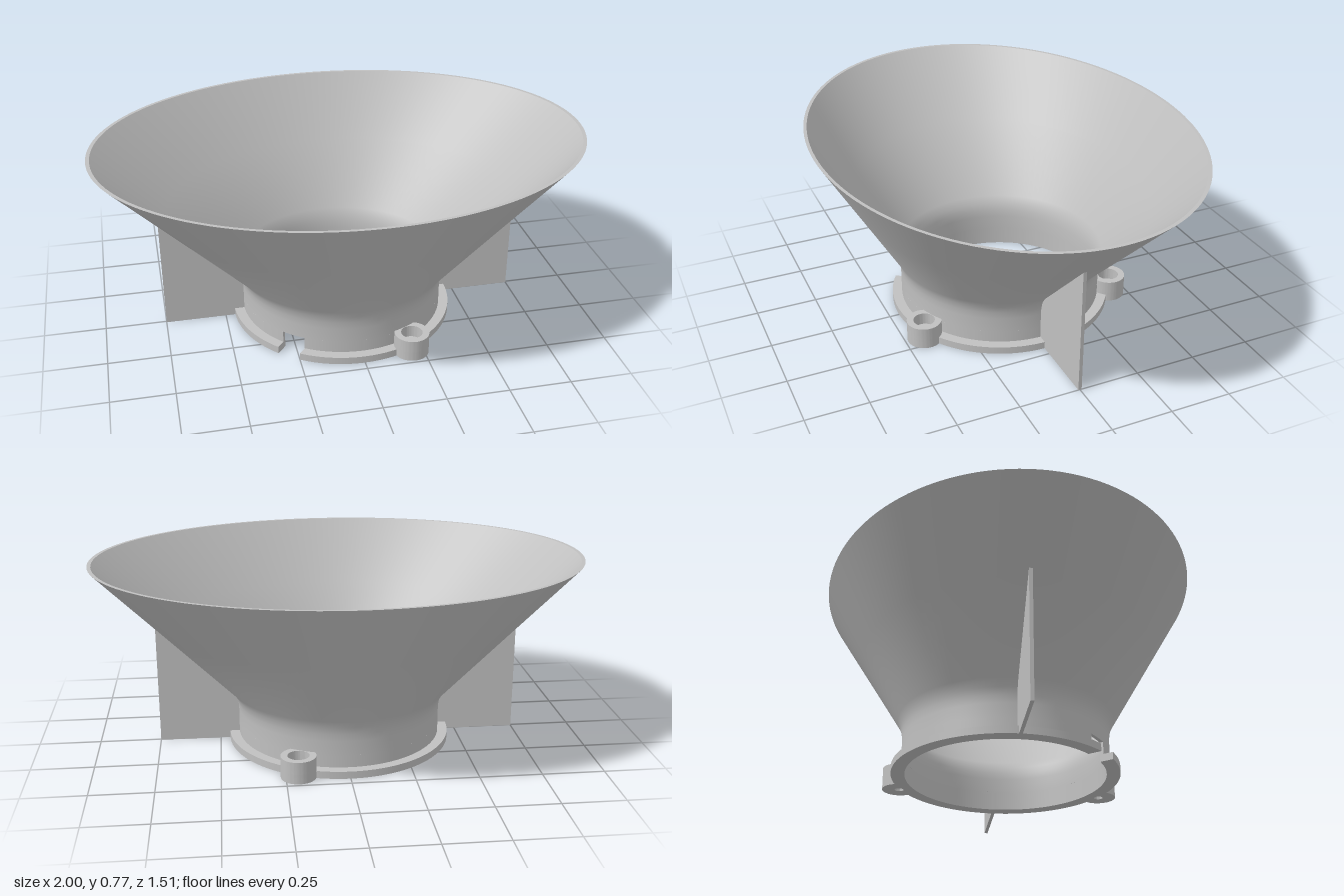
import * as THREE from 'three';
import { toCreasedNormals } from 'three/addons/utils/BufferGeometryUtils.js';

const RAD = Math.PI / 180;
const NECK_IN = 0.405, NECK_OUT = 0.42, FLANGE_OUT = 0.46;
const NOTCH_ANGLE = 231, NOTCH_HALF = 0.049, NOTCH_TOP = 0.08;
const BOSS_ANGLE = 64.5, BOSS_DIST = 0.465, BOSS_R = 0.07;

// Sweeps a closed profile of [rx, rz, y] rows around the y axis
function ellipticalSweep(profile, segments) {
  const positions = [], index = [], rows = profile.length;
  for (const [rx, rz, y] of profile) {
    for (let i = 0; i < segments; i++) {
      const t = (i / segments) * Math.PI * 2;
      positions.push(rx * Math.cos(t), y, rz * Math.sin(t));
    }
  }
  for (let j = 0; j < rows; j++) {
    for (let i = 0; i < segments; i++) {
      const n = (i + 1) % segments, k = (j + 1) % rows;
      const a = j * segments + i, b = j * segments + n;
      const c = k * segments + i, d = k * segments + n;
      index.push(a, c, b, b, c, d);
    }
  }
  const geometry = new THREE.BufferGeometry();
  geometry.setAttribute('position', new THREE.Float32BufferAttribute(positions, 3));
  geometry.setIndex(index);
  return toCreasedNormals(geometry, 0.5);
}

// Extrudes a plan shape upward between two heights
function extrudeUp(shape, y0, y1, curveSegments) {
  const geometry = new THREE.ExtrudeGeometry(shape, { depth: y1 - y0, bevelEnabled: false, curveSegments });
  geometry.rotateX(-Math.PI / 2).translate(0, y0, 0);
  return toCreasedNormals(geometry, 0.5);
}

// Ring sector between two angles, trimmed by a parallel-sided gap at each end
function ringSector(inner, outer, from, to, gapFrom, gapTo) {
  const start = (r) => from * RAD + Math.asin(gapFrom / r);
  const end = (r) => to * RAD - Math.asin(gapTo / r);
  const shape = new THREE.Shape();
  shape.absarc(0, 0, outer, start(outer), end(outer), false);
  shape.absarc(0, 0, inner, end(inner), start(inner), true);
  shape.closePath();
  return shape;
}

// Round boss outline, cut flat where it meets the neck
function bossShape(holeRadius) {
  const cut = 145 * RAD;
  const shape = new THREE.Shape();
  shape.absarc(BOSS_DIST, 0, BOSS_R, -cut, cut, false);
  shape.closePath();
  const hole = new THREE.Path();
  hole.absarc(BOSS_DIST, 0, holeRadius, 0, Math.PI * 2, true);
  shape.holes.push(hole);
  return shape;
}

export function createModel() {
  const group = new THREE.Group();
  const grey = new THREE.MeshStandardMaterial({ color: 0xc0c0c0 });
  grey.name = 'grey';
  const add = (name, geometry, parent = group) => {
    const mesh = new THREE.Mesh(geometry, grey);
    mesh.name = name;
    parent.add(mesh);
    return mesh;
  };

  // Funnel: round neck blending into an elliptical mouth
  const outerWall = [
    [0.42, 0.42, NOTCH_TOP], [0.42, 0.42, 0.14], [0.423, 0.422, 0.17],
    [0.432, 0.428, 0.2], [0.452, 0.441, 0.23], [0.726, 0.598, 0.5], [1, 0.755, 0.77],
  ];
  const innerWall = outerWall.map(([rx, rz, y]) => [rx - 0.015, rz - 0.013, y]).reverse();
  innerWall[innerWall.length - 1] = [NECK_IN, NECK_IN, NOTCH_TOP];
  innerWall[innerWall.length - 2] = [NECK_IN, NECK_IN, 0.14];
  add('funnel', ellipticalSweep([...outerWall, ...innerWall], 128));

  // Lower neck, open at the notch
  add('lowerNeck', extrudeUp(
    ringSector(NECK_IN, NECK_OUT, NOTCH_ANGLE, NOTCH_ANGLE + 360, NOTCH_HALF, NOTCH_HALF), 0, NOTCH_TOP, 120));

  // Base flange, interrupted by the bosses and the notch
  const sectors = [
    [-BOSS_ANGLE, BOSS_ANGLE, 0.05, 0.05],
    [BOSS_ANGLE, NOTCH_ANGLE, 0.05, NOTCH_HALF],
    [NOTCH_ANGLE, 360 - BOSS_ANGLE, NOTCH_HALF, 0.05],
  ];
  for (const s of sectors) add('flange', extrudeUp(ringSector(NECK_IN, FLANGE_OUT, ...s), 0, 0.03, 60));

  // Screw bosses: narrow hole below, wide counterbore above
  for (const side of [-1, 1]) {
    const boss = new THREE.Group();
    boss.name = 'screwBoss';
    boss.rotation.y = side * BOSS_ANGLE * RAD;
    add('bossFloor', extrudeUp(bossShape(0.018), 0, 0.04, 32), boss);
    add('bossCup', extrudeUp(bossShape(0.043), 0.04, 0.09, 32), boss);
    group.add(boss);
  }

  // Side fins supporting the funnel
  const finOutline = [[0.412, 0], [0.75, 0], [0.75, 0.526], [0.445, 0.23], [0.425, 0.2], [0.412, 0.15]];
  const finShape = new THREE.Shape(finOutline.map(([x, y]) => new THREE.Vector2(x, y)));
  for (const side of [0, 1]) {
    const geometry = new THREE.ExtrudeGeometry(finShape, { depth: 0.014, bevelEnabled: false });
    geometry.translate(0, 0, -0.007);
    add('fin', geometry).rotation.y = side * Math.PI;
  }
  return group;
}
